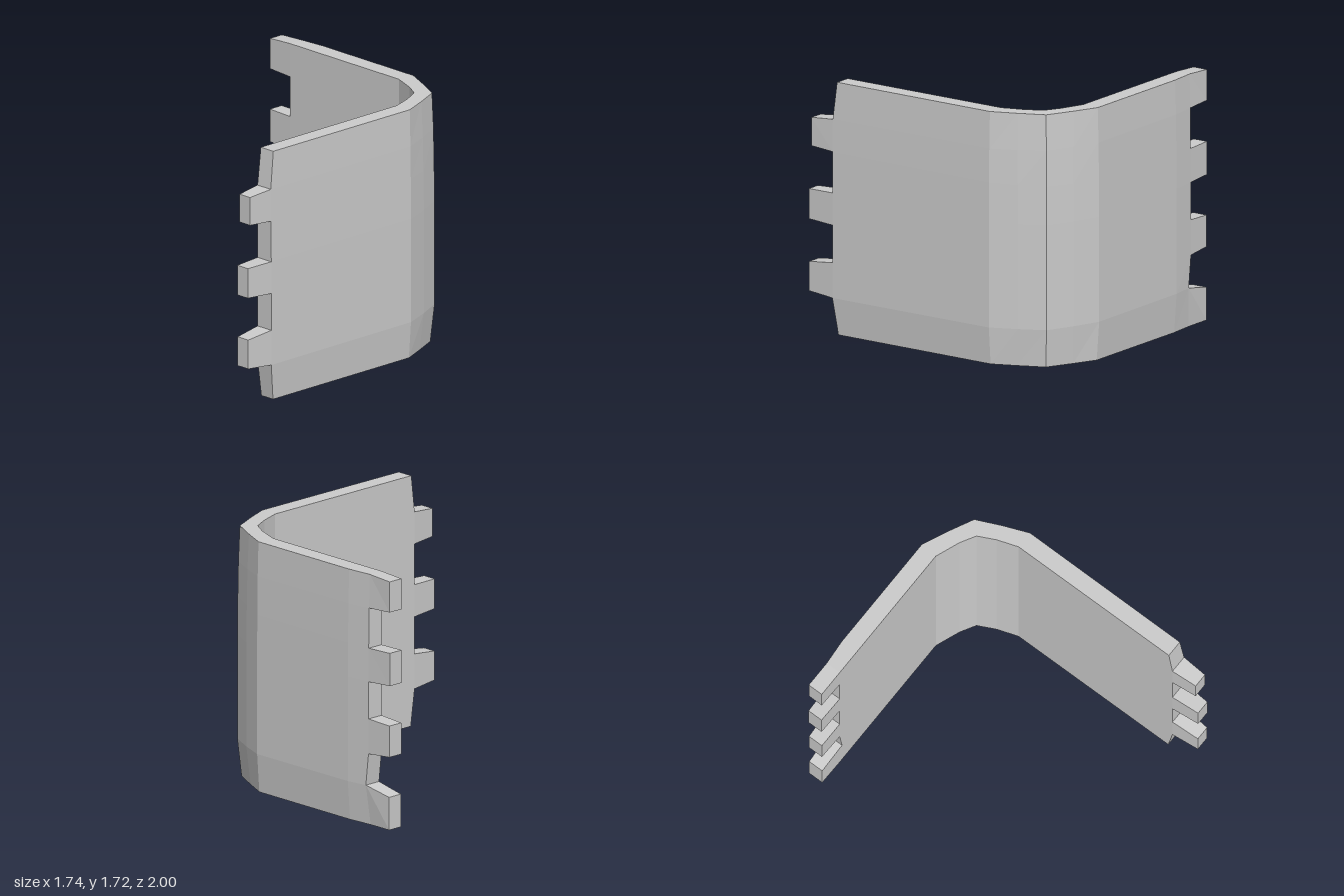
import * as THREE from 'three';

// Plan of the wall as [x, z], from the left-hand end round the corner to the front end
const OUTER = [[-0.68, -0.985], [-0.5, -1], [0.36, -1], [0.54, -0.925], [0.72, -0.835], [0.8, -0.66], [0.87, -0.475], [0.87, 0.8]];
const INNER = [[-0.68, -0.865], [-0.5, -0.865], [0.35, -0.865], [0.52, -0.8], [0.625, -0.74], [0.685, -0.62], [0.735, -0.475], [0.74, 0.8]];
const LAST = OUTER.length - 1;

// Rows: height at back-wall end, height at side-wall end, outer inset, back-wall end x, side-wall end z
const ROWS = [
  [0.01, 0.01, 0.02, -0.68, 0.765],
  [0.28, 0.26, 0, -0.655, 0.8],
  [0.5, 0.5, 0, -0.68, 0.8],
  [0.74, 0.755, 0, -0.68, 0.8],
  [0.995, 0.975, 0, -0.68, 0.8],
  [1.225, 1.255, 0.002, -0.68, 0.8],
  [1.5, 1.475, 0.005, -0.68, 0.8],
  [1.73, 1.73, 0.012, -0.68, 0.77],
];

// Point on the outer or inner skin
function point(skin, j, i) {
  const [yBack, ySide, inset, endX, endZ] = ROWS[i];
  let [x, z] = skin[j];
  if (skin === OUTER) {
    if (j >= 3) x -= inset;
    if (j <= 5) z += inset;
  }
  if (j === 0) x = endX;
  if (j === LAST) z = endZ;
  const t = j / LAST;
  return [x, yBack + (ySide - yBack) * t, z];
}

function quad(out, a, b, c, d) {
  out.push(...a, ...b, ...c, ...a, ...c, ...d);
}

// Tapered block continuing from an open end of the wall
function tab(out, base, tip) {
  for (let k = 0; k < 4; k++) {
    const n = (k + 1) % 4;
    quad(out, base[k], base[n], tip[n], tip[k]);
  }
  quad(out, ...tip);
}

function mesh(name, positions, material) {
  const geometry = new THREE.BufferGeometry();
  geometry.setAttribute('position', new THREE.Float32BufferAttribute(positions, 3));
  geometry.computeVertexNormals();
  const m = new THREE.Mesh(geometry, material);
  m.name = name;
  return m;
}

export function createModel() {
  const group = new THREE.Group();
  group.name = 'cornerPanel';
  const material = new THREE.MeshStandardMaterial({ color: 0xcccccc, flatShading: true });
  const wall = [], backTabs = [], sideTabs = [];
  const top = ROWS.length - 1;

  // Outer and inner skins, bottom and top edges
  for (let j = 0; j < LAST; j++) {
    for (let i = 0; i < top; i++) {
      quad(wall, point(OUTER, j + 1, i), point(OUTER, j, i), point(OUTER, j, i + 1), point(OUTER, j + 1, i + 1));
      quad(wall, point(INNER, j, i), point(INNER, j + 1, i), point(INNER, j + 1, i + 1), point(INNER, j, i + 1));
    }
    quad(wall, point(OUTER, j, 0), point(OUTER, j + 1, 0), point(INNER, j + 1, 0), point(INNER, j, 0));
    quad(wall, point(INNER, j, top), point(INNER, j + 1, top), point(OUTER, j + 1, top), point(OUTER, j, top));
  }

  // Tab tips: [low y, high y, reach]
  const backTips = { 0: [0.015, 0.24, -0.865], 2: [0.515, 0.73, -0.868], 4: [1.005, 1.23, -0.872], 6: [1.51, 1.72, -0.87] };
  const sideTips = { 1: [0.275, 0.475, 0.998], 3: [0.765, 0.97, 1], 5: [1.265, 1.458, 0.98] };

  // Both ends: a tab or a plain edge on alternating bands
  for (let i = 0; i < top; i++) {
    const backEnd = [point(OUTER, 0, i), point(INNER, 0, i), point(INNER, 0, i + 1), point(OUTER, 0, i + 1)];
    const sideEnd = [point(INNER, LAST, i), point(OUTER, LAST, i), point(OUTER, LAST, i + 1), point(INNER, LAST, i + 1)];
    if (backTips[i]) {
      const [lo, hi, x] = backTips[i];
      tab(backTabs, backEnd, [[x, lo, -0.975], [x, lo, -0.867], [x, hi, -0.867], [x, hi, -0.975]]);
    } else quad(wall, ...backEnd);
    if (sideTips[i]) {
      const [lo, hi, z] = sideTips[i];
      tab(sideTabs, sideEnd, [[0.757, lo, z], [0.857, lo, z], [0.857, hi, z], [0.757, hi, z]]);
    } else quad(wall, ...sideEnd);
  }

  group.add(mesh('wall', wall, material), mesh('backWallTabs', backTabs, material), mesh('sideWallTabs', sideTabs, material));
  // Stand on the ground
  group.children.forEach((m) => m.geometry.translate(0, -0.01, 0));
  return group;
}
